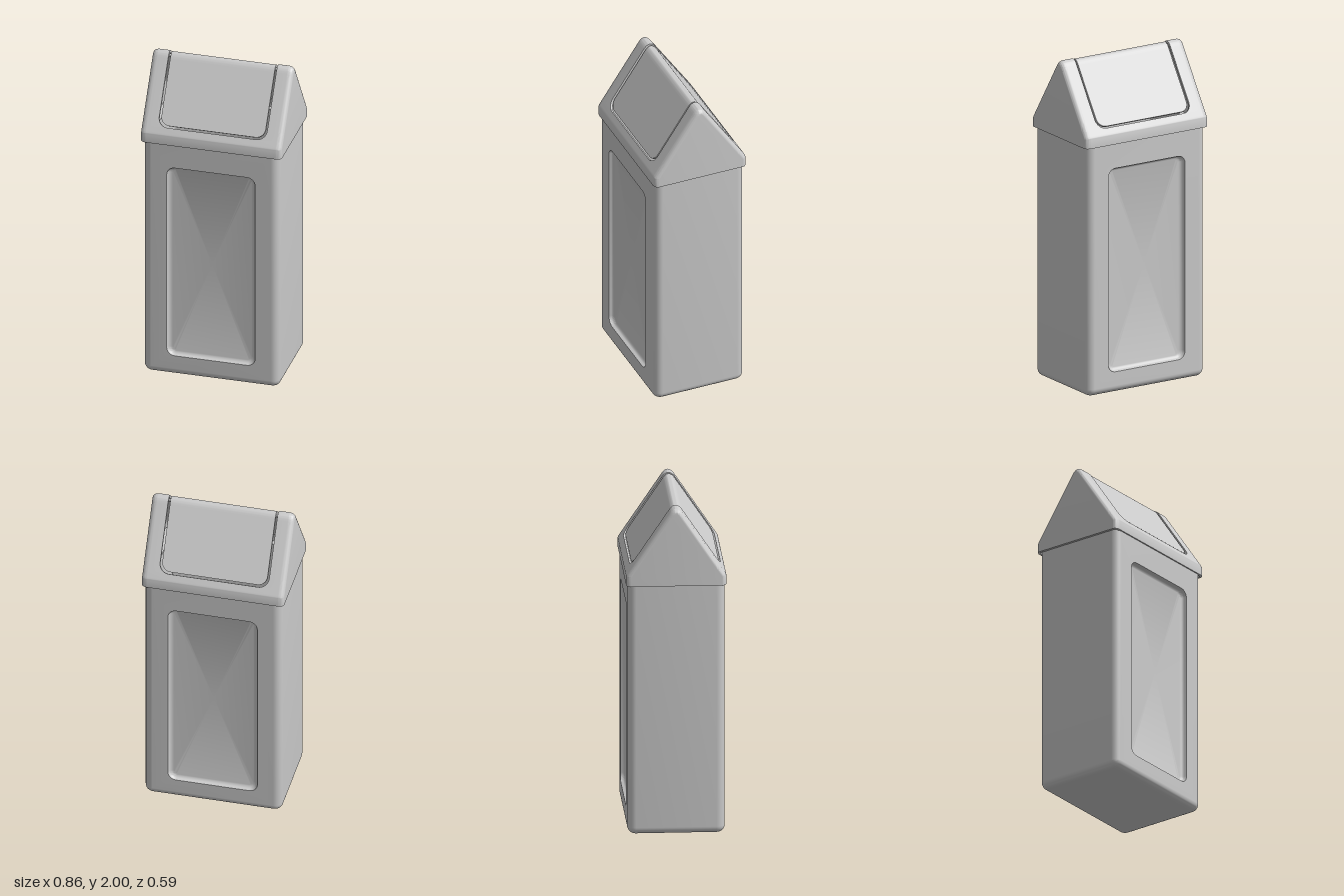
import * as THREE from 'three';
import { mergeGeometries, toCreasedNormals } from 'three/addons/utils/BufferGeometryUtils.js';

const grey = new THREE.MeshStandardMaterial({ color: 0xcccccc });
const steps = (n, f) => Array.from({ length: n + 1 }, (_, i) => f(i / n));
const V = (x, y, z) => new THREE.Vector3(x, y, z);

// Skin a grid of points; faces look along (column direction x row direction)
function skin(rows, closed = false, skip = () => false) {
  const out = [];
  const tri = (a, b, c) => {
    const area = b.clone().sub(a).cross(c.clone().sub(a)).length();
    if (area > 1e-9) out.push(...a, ...b, ...c);
  };
  for (let i = 0; i < rows.length - 1; i++) {
    const n = rows[i].length;
    for (let j = 0; j < (closed ? n : n - 1); j++) {
      if (skip(i, j)) continue;
      const k = (j + 1) % n;
      tri(rows[i][j], rows[i][k], rows[i + 1][k]);
      tri(rows[i][j], rows[i + 1][k], rows[i + 1][j]);
    }
  }
  const g = new THREE.BufferGeometry();
  g.setAttribute('position', new THREE.Float32BufferAttribute(out, 3));
  return g;
}

function mesh(name, parts) {
  const plain = parts.map(p => {
    const g = p.index ? p.toNonIndexed() : p;
    g.deleteAttribute('uv');
    g.deleteAttribute('normal');
    return g;
  });
  const m = new THREE.Mesh(toCreasedNormals(mergeGeometries(plain), 0.6), grey);
  m.name = name;
  return m;
}

// Rounded rectangle as [u, v] points, starting at the +v side and heading to +u
const ARC = 8;
function ring(hu, hv, r) {
  const pts = [];
  [[1, 1], [1, -1], [-1, -1], [-1, 1]].forEach(([su, sv], q) => {
    steps(ARC, t => {
      const a = (q + t) * Math.PI / 2;
      pts.push([su * (hu - r) + r * Math.sin(a), sv * (hv - r) + r * Math.cos(a)]);
    });
  });
  return pts;
}

// Hollow bin with a rounded base and a recessed panel in front and back
function makeBody() {
  const hx = 0.415, hz = 0.287, r = 0.05, R = 0.045, top = 1.56, wall = 0.04;
  const level = (inset, y) =>
    ring(hx - inset, hz - inset, Math.max(r - inset, 0.005)).map(([x, z]) => V(x, y, z));
  const centre = y => level(0, y).map(() => V(0, y, 0));
  const base = steps(8, t => {
    const a = t * Math.PI / 2;
    return level(R * (1 - Math.sin(a)), R * (1 - Math.cos(a)));
  });
  const rows = [centre(0), ...base, level(0, top), level(wall, top), level(wall, wall), centre(wall)];
  const straight = base.length, n = ARC + 1;
  const parts = [skin(rows, true, (i, j) => i === straight && (j === 2 * n - 1 || j === 4 * n - 1))];

  // Face plate with its opening, and the scooped tray behind it
  const px = 0.27, py = 0.625, cy = 0.755, depth = 0.03;
  const w = hx - r;
  const face = new THREE.Shape([[-w, R], [w, R], [w, top], [-w, top]].map(p => new THREE.Vector2(...p)));
  face.holes.push(new THREE.Path(ring(px, py, r).map(([x, v]) => new THREE.Vector2(x, cy - v))));
  const plate = new THREE.ShapeGeometry(face).translate(0, 0, hz);
  const trayRows = steps(6, t => {
    const a = t * Math.PI / 2, inset = depth * (1 - Math.cos(a));
    return ring(px - inset, py - inset, r - inset).map(([x, v]) => V(x, cy - v, hz - depth * Math.sin(a)));
  });
  trayRows.push(trayRows[0].map(() => V(0, cy, hz - depth)));
  const tray = skin(trayRows, true);
  for (const g of [plate, tray]) parts.push(g, g.clone().rotateY(Math.PI));
  return mesh('body', parts);
}

// Roof profile as (z, y), from the front skirt over the ridge to the back
const roof = new THREE.Path();
roof.moveTo(0.295, 1.53).lineTo(0.295, 1.585);
roof.quadraticCurveTo(0.295, 1.59, 0.285, 1.605).lineTo(0.04, 1.97);
roof.quadraticCurveTo(0, 2.03, -0.04, 1.97).lineTo(-0.285, 1.605);
roof.quadraticCurveTo(-0.295, 1.59, -0.295, 1.585).lineTo(-0.295, 1.53);
const L = roof.getLength();

// Point at distance s along the roof, sunk below its surface by off
function onRoof(s, x, off) {
  const p = roof.getPoint(s / L), t = roof.getTangent(s / L);
  return V(x, p.y + t.x * off, p.x - t.y * off);
}

// Thick sheet on the roof; each row is { s, cols: [x, off, tilt] }
function sheet(rows, thick) {
  const outer = rows.map(({ s, cols }) => cols.map(([x, off]) => onRoof(s, x, off)));
  const inner = rows.map(({ s, cols }) => cols.map(([x, off, a]) =>
    onRoof(s, x - thick * Math.sin(a), off + thick * Math.cos(a))));
  const last = rows.length - 1, end = rows[0].cols.length - 1;
  return [
    skin(outer),
    skin(inner.map(row => [...row].reverse())),
    skin(outer.map((row, i) => [inner[i][0], row[0]])),
    skin(outer.map((row, i) => [row[end], inner[i][end]])),
    skin([inner[0], outer[0]]),
    skin([outer[last], inner[last]]),
  ];
}

const mirrorRows = half => [...half, ...half.slice(0, -1).reverse().map(h => ({ ...h, s: L - h.s }))];
const ridge = steps(14, t => L / 2 - 0.075 * (1 - t));
// Rows that round the lower corners: width w from start s0 with radius r
const cornerRows = (s0, w, r) => steps(8, t => {
  const a = t * Math.PI / 2;
  return { s: s0 + r * (1 - Math.cos(a)), x: w - r + r * Math.sin(a) };
});

// Gabled lid with an opening that runs across the ridge
function makeLid() {
  const hx = 0.43, rx = 0.035, ro = 0.025, thick = 0.015, s0 = 0.108, w = 0.33;
  const half = [
    ...[0, 0.05, 0.056, 0.06, 0.065, 0.07, 0.075, 0.08, s0].map(s => ({ s, x: 0 })),
    ...cornerRows(s0, w, 0.06),
    ...ridge.map(s => ({ s, x: w })),
  ];
  const rows = mirrorRows(half).map(({ s, x }) => ({
    s,
    cols: [[x, 0, 0], ...steps(8, t => {
      const a = t * Math.PI / 2;
      return [hx - rx + rx * Math.sin(a), ro * (1 - Math.cos(a)), a];
    })],
  }));
  const side = sheet(rows, thick);
  // Gable end plate
  const outline = rows.map(({ s }) => onRoof(s, 0, ro))
    .filter((p, i, all) => !i || p.distanceTo(all[i - 1]) > 1e-5)
    .map(p => new THREE.Vector2(-p.z, p.y));
  side.push(new THREE.ExtrudeGeometry(new THREE.Shape(outline), { depth: thick, bevelEnabled: false })
    .rotateY(Math.PI / 2).translate(hx - thick, 0, 0));
  return mesh('lid', [...side, ...side.map(g => g.clone().rotateY(Math.PI))]);
}

// Swinging flap that fills the opening with a narrow gap
function makeFlap() {
  const w = 0.318;
  const half = [...cornerRows(0.121, w, 0.055), ...ridge.map(s => ({ s, x: w }))];
  const rows = mirrorRows(half).map(({ s, x }) => ({ s, cols: [[-x, 0.004, 0], [x, 0.004, 0]] }));
  return mesh('flap', sheet(rows, 0.015));
}

export function createModel() {
  const model = new THREE.Group();
  model.name = 'swingTopBin';
  model.add(makeBody(), makeLid(), makeFlap());
  // Hinge pins at both ends of the ridge
  for (const side of [-1, 1]) {
    const pin = new THREE.Mesh(new THREE.CylinderGeometry(0.01, 0.01, 0.045, 16), grey);
    pin.name = side > 0 ? 'leftHingePin' : 'rightHingePin';
    pin.rotation.z = Math.PI / 2;
    pin.position.set(side * 0.324, 1.97, 0);
    model.add(pin);
  }
  return model;
}
